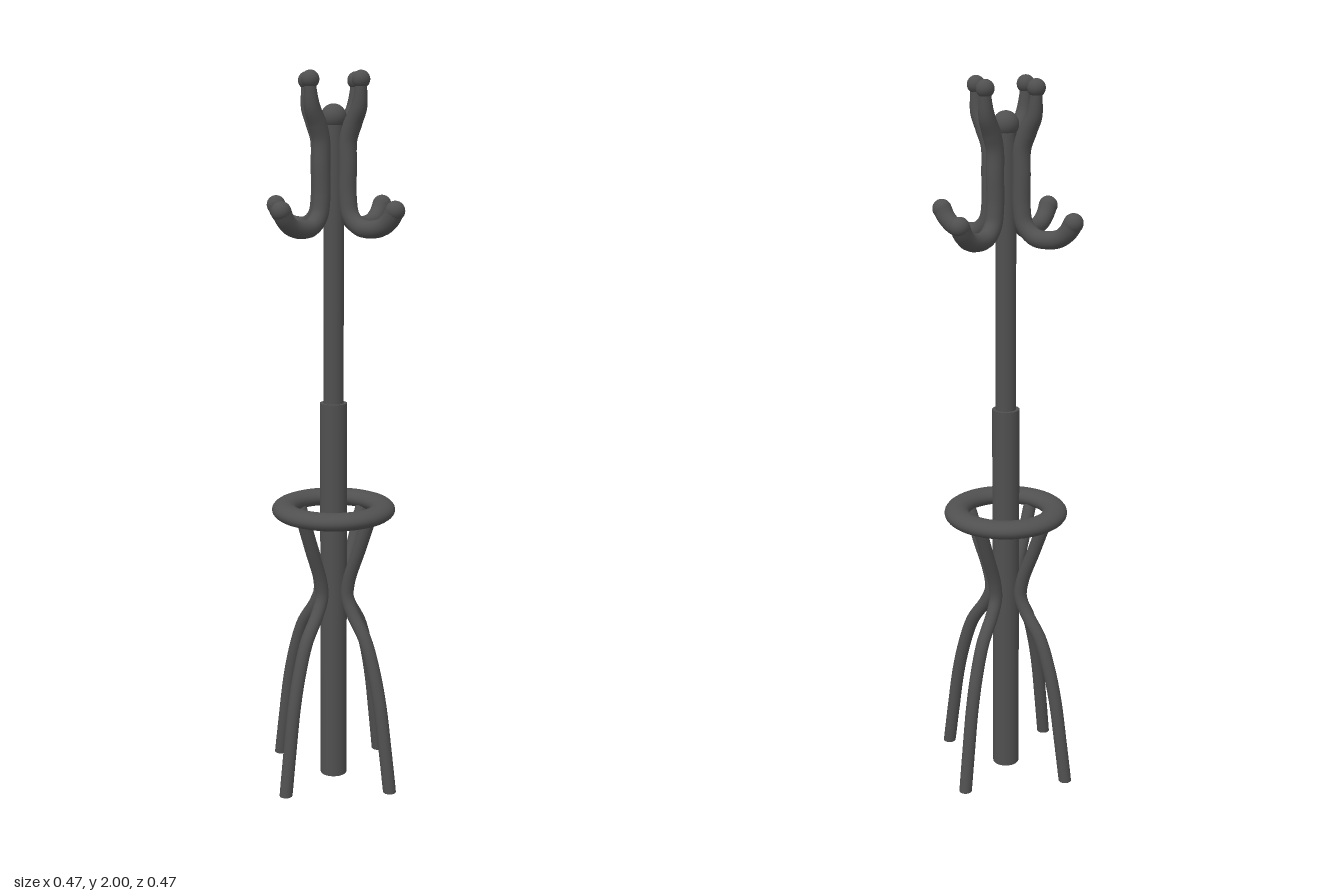
import * as THREE from 'three';

const material = new THREE.MeshStandardMaterial({ color: 0x505050 });

function add(parent, name, geometry, x = 0, y = 0, z = 0) {
  const mesh = new THREE.Mesh(geometry, material);
  mesh.name = name;
  mesh.position.set(x, y, z);
  parent.add(mesh);
  return mesh;
}

// Round rod through [x, y, radius] stations; the radius eases between stations.
function rod(stations, segments) {
  const curve = new THREE.CatmullRomCurve3(stations.map(([x, y]) => new THREE.Vector3(x, y, 0)), false, 'centripetal');
  const sides = 16;
  const geometry = new THREE.TubeGeometry(curve, segments, 1, sides, false);
  const pos = geometry.attributes.position;
  const normal = geometry.attributes.normal;
  const p = new THREE.Vector3();
  for (let i = 0; i <= segments; i++) {
    const t = curve.getUtoTmapping(i / segments) * (stations.length - 1);
    const k = Math.min(Math.floor(t), stations.length - 2);
    const r = THREE.MathUtils.lerp(stations[k][2], stations[k + 1][2], t - k);
    curve.getPointAt(i / segments, p);
    for (let j = 0; j <= sides; j++) {
      const v = i * (sides + 1) + j;
      pos.setXYZ(v, p.x + normal.getX(v) * r, p.y + normal.getY(v) * r, normal.getZ(v) * r);
    }
  }
  return geometry;
}

export function createModel() {
  const group = new THREE.Group();
  group.name = 'coatStand';

  // Central pole in two thicknesses with a ball on top
  add(group, 'lowerPole', new THREE.CylinderGeometry(0.038, 0.038, 1.105, 32), 0, 0.5525);
  add(group, 'upperPole', new THREE.CylinderGeometry(0.028, 0.028, 0.78, 32), 0, 1.48);
  add(group, 'poleBall', new THREE.SphereGeometry(0.035, 24, 16), 0, 1.88);

  // Flattened umbrella ring
  const ring = new THREE.TorusGeometry(0.139, 0.035, 20, 64);
  ring.rotateX(Math.PI / 2).scale(1, 0.7, 1);
  add(group, 'umbrellaRing', ring, 0, 0.8);

  // Bent leg: floor, knee, waist against the pole, then out to the ring
  const r = 0.0185;
  const leg = rod([
    [0.209, 0, r], [0.192, 0.12, r], [0.172, 0.25, r], [0.148, 0.35, r], [0.117, 0.435, r],
    [0.07, 0.505, r], [0.051, 0.55, r], [0.057, 0.6, r], [0.095, 0.7, r], [0.131, 0.795, r],
  ], 56);
  const legPos = leg.attributes.position;
  for (let i = 0; i < 17; i++) legPos.setY(i, 0); // foot cut level with the floor
  const foot = new THREE.CircleGeometry(r, 16).rotateX(Math.PI / 2);

  // Double hook: thin upper finger, straight shank, lower arm curling up
  const hook = rod([
    [0.094, 1.97, 0.015], [0.093, 1.945, 0.017], [0.087, 1.905, 0.022], [0.066, 1.862, 0.025],
    [0.051, 1.82, 0.024], [0.05, 1.75, 0.024], [0.05, 1.67, 0.024], [0.06, 1.622, 0.024],
    [0.09, 1.594, 0.024], [0.13, 1.589, 0.024], [0.17, 1.598, 0.024], [0.195, 1.618, 0.025],
    [0.21, 1.642, 0.026],
  ], 72);
  const fingerBall = new THREE.SphereGeometry(0.024, 20, 14);
  const armTip = new THREE.SphereGeometry(0.0265, 20, 14);

  // Four legs and four hooks around the pole
  for (let i = 0; i < 4; i++) {
    const legGroup = new THREE.Group();
    legGroup.name = 'leg' + (i + 1);
    add(legGroup, 'legRod', leg);
    add(legGroup, 'foot', foot, 0.209, 0, 0);

    const hookGroup = new THREE.Group();
    hookGroup.name = 'hook' + (i + 1);
    add(hookGroup, 'hookRod', hook);
    add(hookGroup, 'fingerBall', fingerBall, 0.094, 1.976);
    add(hookGroup, 'armTip', armTip, 0.21, 1.641);

    legGroup.rotation.y = hookGroup.rotation.y = (i * Math.PI) / 2;
    group.add(legGroup, hookGroup);
  }
  return group;
}
